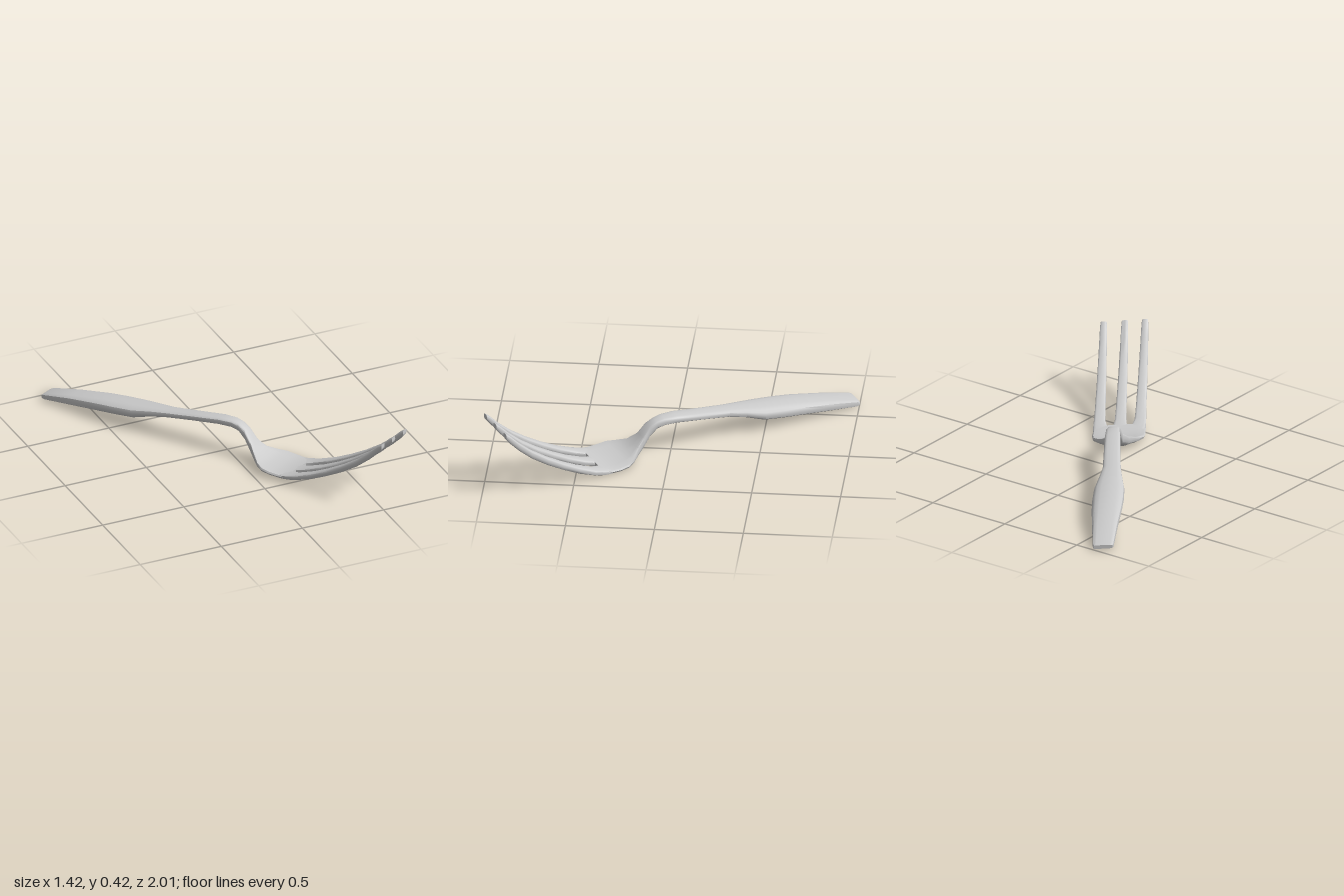
import * as THREE from 'three';
import { toCreasedNormals } from 'three/addons/utils/BufferGeometryUtils.js';

const SIDES = 16;
const ROLL = 0.08; // slight sideways lean of the whole fork

// Loft along z. Station: [z, centre x, half width, top y, bottom y, squareness, dish]
// squareness 1 = ellipse, towards 0 = box; dish lifts the side edges.
function loft(stations) {
  const pos = [], index = [];
  for (const [z, cx, hw, top, bottom, power, dish = 0] of stations) {
    for (let j = 0; j < SIDES; j++) {
      const a = (j / SIDES) * Math.PI * 2;
      const round = (n) => (Math.abs(n) < 1e-6 ? 0 : Math.sign(n) * Math.abs(n) ** power);
      const u = round(Math.cos(a)), w = round(Math.sin(a));
      const x = cx + u * hw;
      pos.push(x, (top + bottom) / 2 + (w * (top - bottom)) / 2 + dish * u * u - ROLL * x, z);
    }
  }
  const last = (stations.length - 1) * SIDES;
  for (let i = 0; i < stations.length - 1; i++) {
    for (let j = 0; j < SIDES; j++) {
      const k = (j + 1) % SIDES;
      const a = i * SIDES + j, b = i * SIDES + k, c = b + SIDES, d = a + SIDES;
      index.push(a, b, c, a, c, d);
    }
  }
  // End caps
  for (let j = 1; j < SIDES - 1; j++) {
    index.push(0, j + 1, j, last, last + j, last + j + 1);
  }
  const geo = new THREE.BufferGeometry();
  geo.setAttribute('position', new THREE.Float32BufferAttribute(pos, 3));
  geo.setIndex(index);
  return toCreasedNormals(geo, 0.7);
}

export function createModel() {
  const model = new THREE.Group();
  model.name = 'fork';
  const fork = new THREE.Group();
  fork.name = 'forkBody';
  fork.position.x = -0.017;
  fork.rotation.y = 0.586; // lies diagonally
  model.add(fork);

  const metal = new THREE.MeshStandardMaterial({ color: 0xcccccc });
  const add = (name, stations) => {
    const mesh = new THREE.Mesh(loft(stations), metal);
    mesh.name = name;
    fork.add(mesh);
  };

  // Handle, neck and bowl in one sweep
  add('handleAndBowl', [
    [-1.17, 0, 0.054, 0.036, 0.014, 0.4],
    [-1.155, 0, 0.059, 0.045, 0.008, 0.4],
    [-0.98, 0, 0.071, 0.085, 0.024, 0.55],
    [-0.79, -0.002, 0.085, 0.119, 0.043, 0.7],
    [-0.68, -0.003, 0.089, 0.133, 0.053, 0.75],
    [-0.56, -0.004, 0.086, 0.145, 0.066, 0.75],
    [-0.45, -0.006, 0.066, 0.157, 0.102, 0.7],
    [-0.35, -0.008, 0.051, 0.167, 0.124, 0.65],
    [-0.2, -0.002, 0.047, 0.187, 0.147, 0.6],
    [-0.02, 0.004, 0.044, 0.213, 0.172, 0.55],
    [0.06, 0.006, 0.039, 0.216, 0.174, 0.55],
    [0.105, 0.005, 0.034, 0.207, 0.161, 0.55],
    [0.15, 0, 0.035, 0.183, 0.12, 0.55],
    [0.195, -0.004, 0.043, 0.126, 0.058, 0.5],
    [0.24, -0.01, 0.071, 0.08, 0.023, 0.5, 0.008],
    [0.29, -0.012, 0.117, 0.052, 0.014, 0.5, 0.01],
    [0.335, -0.012, 0.145, 0.042, 0.01, 0.5, 0.009],
    [0.39, -0.011, 0.15, 0.036, 0.007, 0.5, 0.006],
    [0.45, -0.011, 0.148, 0.036, 0.009, 0.5, 0.003],
    [0.5, -0.011, 0.146, 0.045, 0.017, 0.5],
  ]);

  // Three tines: centre at the root, centre at the tip
  const tines = [['leftTine', 0.104, 0.11], ['middleTine', -0.013, -0.009], ['rightTine', -0.124, -0.122]];
  // z, half width, top y, bottom y
  const curve = [
    [0.44, 0.03, 0.034, 0.012],
    [0.48, 0.046, 0.041, 0.014],
    [0.51, 0.039, 0.048, 0.018],
    [0.55, 0.033, 0.059, 0.026],
    [0.65, 0.03, 0.098, 0.06],
    [0.75, 0.028, 0.147, 0.107],
    [0.85, 0.026, 0.204, 0.161],
    [0.95, 0.024, 0.271, 0.225],
    [1.03, 0.022, 0.338, 0.292],
    [1.09, 0.02, 0.398, 0.352],
    [1.115, 0.018, 0.415, 0.385],
  ];
  for (const [name, root, tip] of tines) {
    add(name, curve.map(([z, hw, top, bottom]) => {
      const t = (z - 0.44) / 0.675;
      // keep the outer tines flush with the bowl's sides at the root
      const inset = hw > 0.034 ? Math.sign(Math.round(root * 20)) * (hw - 0.034) : 0;
      return [z, root + (tip - root) * t - inset, hw, top, bottom, 0.5];
    }));
  }

  return model;
}
